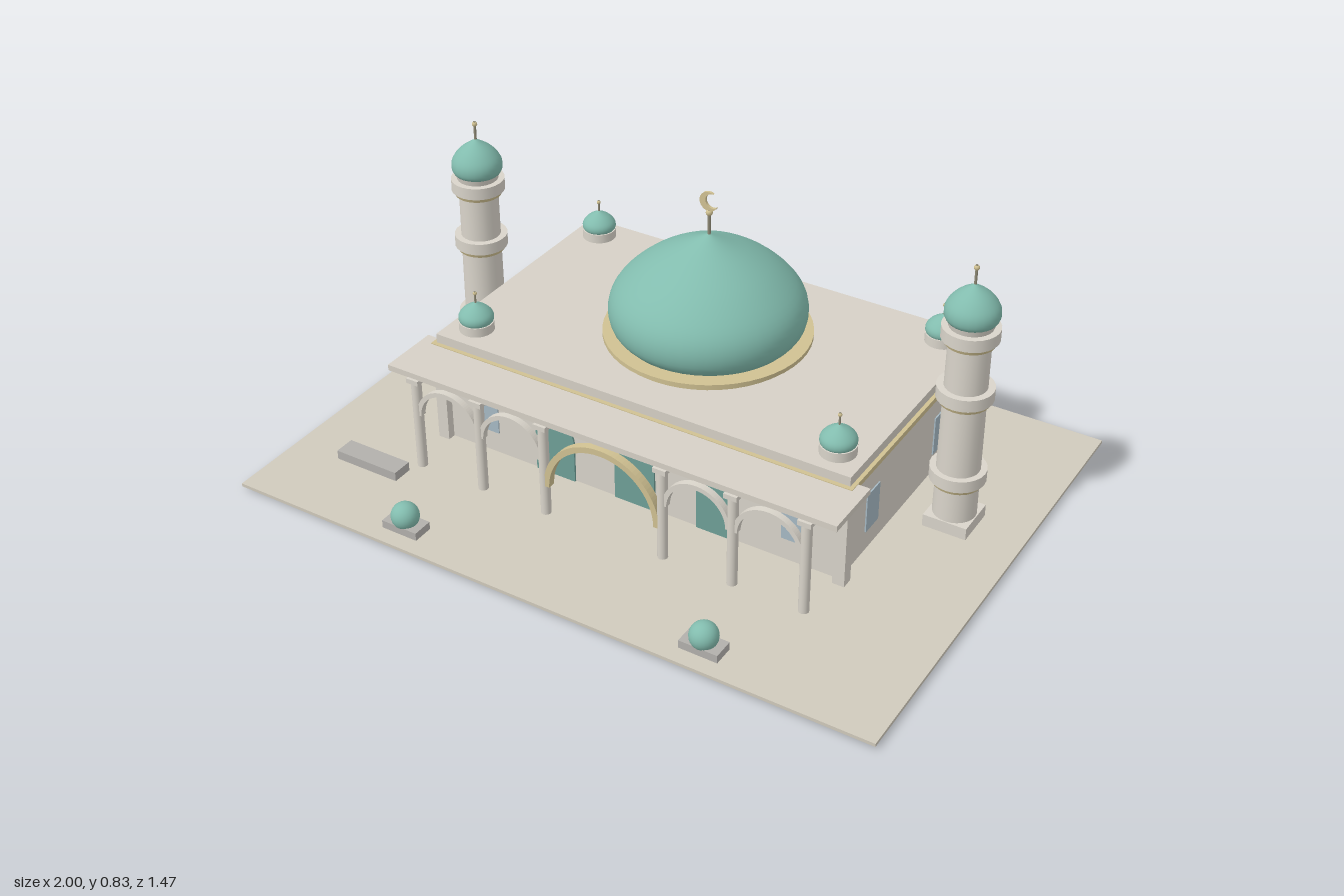
import * as THREE from 'three';

const mat = (color) => new THREE.MeshStandardMaterial({ color });
const M = {
  ground: mat(0xd0cabc), wall: mat(0xd9d4ca), roof: mat(0xd6d0c6), gold: mat(0xd0c192),
  dome: mat(0x82bcae), door: mat(0x6f9f97), glass: mat(0xa6b9c4), stone: mat(0xb2b0ac), metal: mat(0x8f8a76),
};
const DOME_Z = -0.16;

function add(parent, name, geo, material, x = 0, y = 0, z = 0) {
  const m = new THREE.Mesh(geo, material);
  m.name = name;
  m.position.set(x, y, z);
  parent.add(m);
  return m;
}

// box given by its base height y0 and top height y1
const box = (p, name, m, w, d, y0, y1, x = 0, z = 0) =>
  add(p, name, new THREE.BoxGeometry(w, y1 - y0, d), m, x, (y0 + y1) / 2, z);

const cyl = (p, name, m, r, y0, y1, x = 0, z = 0, seg = 32, rTop = r) =>
  add(p, name, new THREE.CylinderGeometry(rTop, r, y1 - y0, seg), m, x, (y0 + y1) / 2, z);

// bulbous dome with a pointed crown: smooth curve through unit profile points
const PROFILE = [[0.89, 0], [0.97, 0.09], [1, 0.22], [0.97, 0.36], [0.87, 0.5], [0.68, 0.66], [0.46, 0.79], [0.22, 0.9], [0, 1]];
function onion(p, name, r, y0, y1, x, z, seg) {
  const curve = new THREE.SplineCurve(PROFILE.map(([a, b]) => new THREE.Vector2(a * r, b * (y1 - y0))));
  const pts = curve.getPoints(24);
  pts[pts.length - 1].x = 0;
  return add(p, name, new THREE.LatheGeometry([new THREE.Vector2(0, 0), ...pts], seg), M.dome, x, y0, z);
}

function finial(p, y0, y1, r, x, z) {
  cyl(p, 'finialPole', M.metal, r * 0.5, y0, y1, x, z, 8);
  add(p, 'finialBall', new THREE.SphereGeometry(r, 12, 8), M.gold, x, y1 - r, z);
}

// upright panel with a round head, standing on y = 0
function archPanel(w, h, depth) {
  const r = w / 2, s = new THREE.Shape();
  s.moveTo(-r, 0);
  s.lineTo(r, 0);
  s.lineTo(r, h - r);
  s.absarc(0, h - r, r, 0, Math.PI, false);
  s.lineTo(-r, 0);
  return new THREE.ExtrudeGeometry(s, { depth, bevelEnabled: false, curveSegments: 16 });
}

// flat half ring for the arcade
function archRing(rOut, rIn, depth) {
  const s = new THREE.Shape();
  s.absarc(0, 0, rOut, 0, Math.PI, false);
  s.absarc(0, 0, rIn, Math.PI, 0, true);
  const g = new THREE.ExtrudeGeometry(s, { depth, bevelEnabled: false, curveSegments: 24 });
  return g.translate(0, 0, -depth / 2);
}

function hall() {
  const g = new THREE.Group();
  g.name = 'prayerHall';
  box(g, 'walls', M.wall, 1.28, 0.77, 0.015, 0.325, 0, -0.155);
  box(g, 'cornice', M.gold, 1.345, 0.825, 0.32, 0.336, 0, -0.16);
  box(g, 'roofSlab', M.roof, 1.322, 0.8, 0.336, 0.364, 0, -0.16);
  for (const sx of [-1, 1]) {
    for (const z of [0.237, -0.545]) box(g, 'cornerPillar', M.wall, 0.036, 0.036, 0, 0.322, sx * 0.648, z);
    for (const z of [0.055, -0.365]) box(g, 'sideWindow', M.glass, 0.008, 0.074, 0.083, 0.206, sx * 0.64, z);
    add(g, 'frontWindow', archPanel(0.075, 0.13, 0.006), M.glass, sx * 0.5, 0.087, 0.228);
  }
  for (const x of [-0.265, 0, 0.265]) add(g, 'door', archPanel(0.13, 0.19, 0.008), M.door, x, 0.018, 0.228);
  return g;
}

function portico() {
  const g = new THREE.Group();
  g.name = 'portico';
  const z = 0.393;
  box(g, 'canopy', M.roof, 1.416, 0.185, 0.316, 0.334, 0, 0.311);
  for (const sx of [-1, 1]) {
    for (const x of [0.19, 0.405, 0.62]) {
      cyl(g, 'column', M.wall, 0.015, 0.015, 0.305, sx * x, z, 16);
      box(g, 'capital', M.wall, 0.04, 0.038, 0.302, 0.317, sx * x, z);
    }
    for (const x of [0.2975, 0.5125]) add(g, 'sideArch', archRing(0.104, 0.09, 0.02), M.wall, sx * x, 0.196, z);
  }
  add(g, 'centreArch', archRing(0.186, 0.168, 0.024), M.gold, 0, 0.116, z);
  return g;
}

function mainDome() {
  const g = new THREE.Group();
  g.name = 'mainDome';
  cyl(g, 'drum', M.gold, 0.285, 0.362, 0.379, 0, DOME_Z, 48);
  cyl(g, 'drumRim', M.gold, 0.3, 0.377, 0.39, 0, DOME_Z, 48);
  onion(g, 'domeShell', 0.283, 0.388, 0.694, 0, DOME_Z, 48);
  finial(g, 0.685, 0.768, 0.01, 0, DOME_Z);
  // crescent opening towards the upper +x side
  const s = new THREE.Shape();
  s.absarc(0, 0, 0.029, 0.75, Math.PI * 2 - 0.75, false);
  s.absarc(0.012, 0, 0.0217, -1.14, 1.14, true);
  const crescent = new THREE.ExtrudeGeometry(s, { depth: 0.008, bevelEnabled: false, curveSegments: 24 });
  add(g, 'crescent', crescent.translate(0, 0, -0.004), M.gold, 0, 0.793, DOME_Z).rotation.z = 0.3;
  return g;
}

function cornerDome(x, z) {
  const g = new THREE.Group();
  g.name = 'cornerDome';
  g.position.set(x, 0, z);
  cyl(g, 'base', M.wall, 0.051, 0.362, 0.392, 0, 0, 24);
  onion(g, 'shell', 0.051, 0.39, 0.452, 0, 0, 24);
  finial(g, 0.445, 0.486, 0.006, 0, 0);
  return g;
}

function minaret(x) {
  const g = new THREE.Group();
  g.name = 'minaret';
  g.position.set(x, 0, DOME_Z);
  box(g, 'plinth', M.wall, 0.13, 0.13, 0.015, 0.055);
  cyl(g, 'shaft', M.wall, 0.062, 0.05, 0.66, 0, 0, 24, 0.058);
  for (const y of [0.163, 0.425, 0.61]) {
    cyl(g, 'balconyTrim', M.gold, 0.07, y - 0.007, y + 0.008, 0, 0, 24, 0.076);
    cyl(g, 'balcony', M.wall, 0.079, y + 0.006, y + 0.042, 0, 0, 24);
  }
  cyl(g, 'neck', M.wall, 0.06, 0.65, 0.674, 0, 0, 24, 0.066);
  onion(g, 'cap', 0.075, 0.67, 0.778, 0, 0, 24);
  finial(g, 0.77, 0.832, 0.008, 0, 0);
  return g;
}

export function createModel() {
  const model = new THREE.Group();
  model.name = 'domedHall';
  box(model, 'courtyard', M.ground, 2, 1.47, 0.008, 0.018);
  model.add(hall(), portico(), mainDome());
  for (const sx of [-1, 1]) {
    model.add(minaret(sx * 0.79));
    for (const z of [0.155, -0.48]) model.add(cornerDome(sx * 0.58, z));
    // clipped shrubs in stone planters
    box(model, 'planter', M.stone, 0.115, 0.062, 0.016, 0.042, sx * 0.475, 0.655);
    add(model, 'shrub', new THREE.SphereGeometry(0.04, 24, 16), M.dome, sx * 0.475, 0.062, 0.655);
  }
  box(model, 'bench', M.stone, 0.21, 0.062, 0.018, 0.046, -0.74, 0.468);
  return model;
}
